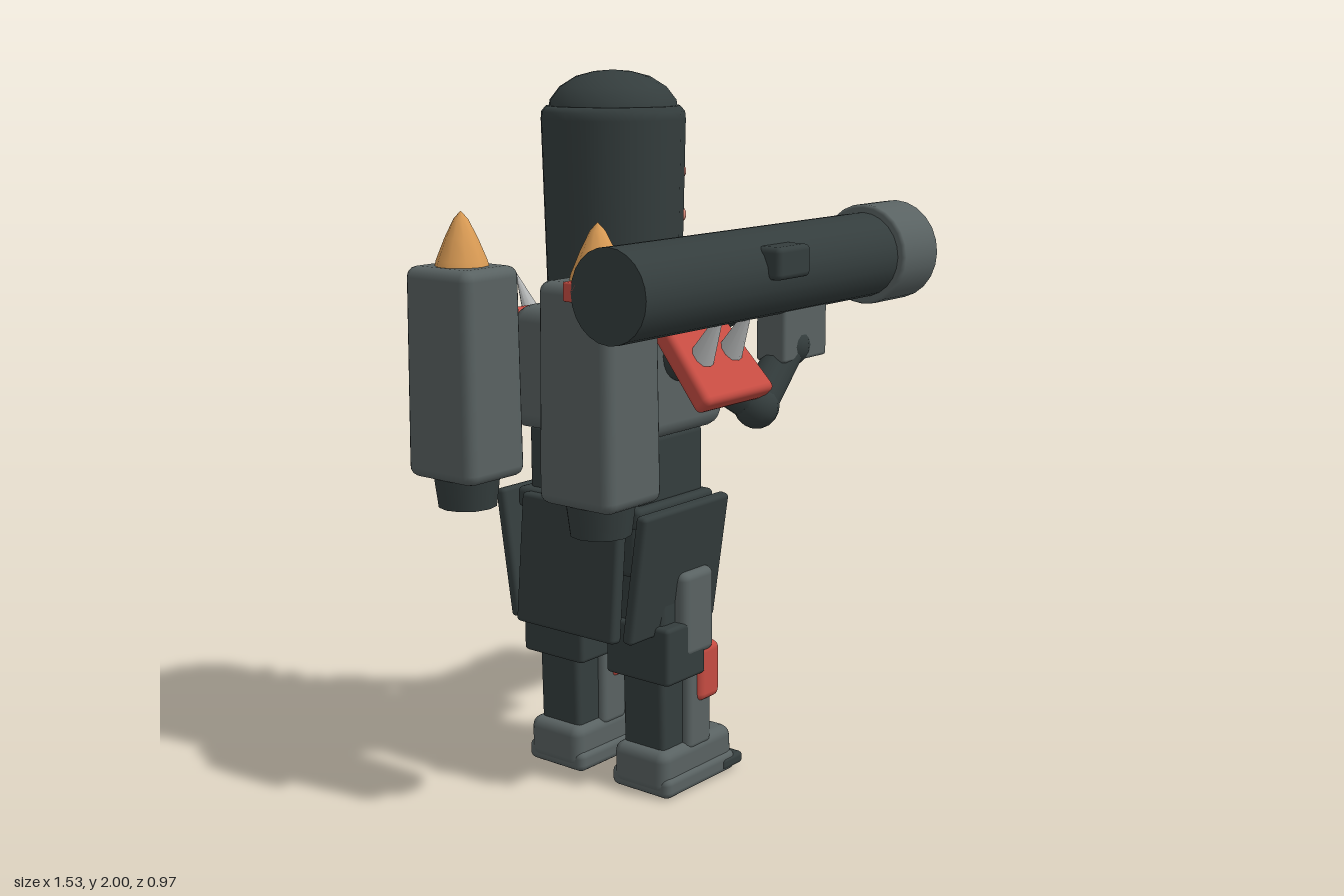
import * as THREE from 'three';
import { RoundedBoxGeometry } from 'three/addons/geometries/RoundedBoxGeometry.js';

const mat = (name, color) => {
  const m = new THREE.MeshStandardMaterial({ color });
  m.name = name;
  return m;
};

export function createModel() {
  const dark = mat('dark iron', 0x343d3d);
  const gray = mat('gray armour', 0x596262);
  const red = mat('red paint', 0xc64c42);
  const orange = mat('orange cone', 0xdb9c55);
  const pink = mat('pink eye', 0xd88c7c);
  const silver = mat('silver spike', 0xb2b4b4);

  const root = new THREE.Group();
  root.name = 'armouredSoldier';
  // The body faces +x; its middle plane lies slightly behind z = 0
  const body = new THREE.Group();
  body.name = 'body';
  body.position.z = -0.046;
  root.add(body);

  const add = (parent, name, geo, material, x = 0, y = 0, z = 0) => {
    const m = new THREE.Mesh(geo, material);
    m.name = name;
    m.position.set(x, y, z);
    parent.add(m);
    return m;
  };
  // Rounded box given by its limits on each axis
  const box = (parent, name, material, [x0, x1], [y0, y1], [z0, z1], r = 0.02) => {
    const w = x1 - x0, h = y1 - y0, d = z1 - z0;
    const geo = new RoundedBoxGeometry(w, h, d, 2, Math.min(r, w / 2.1, h / 2.1, d / 2.1));
    return add(parent, name, geo, material, (x0 + x1) / 2, (y0 + y1) / 2, (z0 + z1) / 2);
  };
  // Scale each horizontal section by a rule of its relative height (0 to 1)
  const taper = (mesh, rule) => {
    const p = mesh.geometry.attributes.position;
    mesh.geometry.computeBoundingBox();
    const { min, max } = mesh.geometry.boundingBox;
    for (let i = 0; i < p.count; i++) {
      const [sx, sz, dx = 0] = rule((p.getY(i) - min.y) / (max.y - min.y));
      p.setX(i, p.getX(i) * sx + dx);
      p.setZ(i, p.getZ(i) * sz);
    }
    return mesh;
  };
  const lathe = (points, sides) =>
    new THREE.LatheGeometry(points.map(([r, y]) => new THREE.Vector2(r, y)), sides);
  const ball = (parent, name, material, r, p) =>
    add(parent, name, new THREE.SphereGeometry(r, 14, 10), material, ...p);
  const rod = (parent, name, r0, r1, a, b) => {
    const A = new THREE.Vector3(...a), B = new THREE.Vector3(...b);
    const dir = B.clone().sub(A);
    const m = add(parent, name, new THREE.CylinderGeometry(r1, r0, dir.length(), 14), dark);
    m.position.copy(A).add(B).multiplyScalar(0.5);
    m.quaternion.setFromUnitVectors(new THREE.Vector3(0, 1, 0), dir.normalize());
  };

  // Helmet with domed crown
  add(body, 'helmet', lathe([[0, 1.38], [0.17, 1.38], [0.184, 1.39], [0.186, 1.42],
    [0.197, 1.87], [0.195, 1.89], [0.182, 1.905], [0, 1.905]], 20), dark, -0.3);
  add(body, 'helmetDome', lathe([[0.176, 1.89], [0.172, 1.92], [0.145, 1.955], [0.1, 1.983],
    [0.05, 1.996], [0, 2]], 20), dark, -0.3);
  add(body, 'neck', new THREE.CylinderGeometry(0.09, 0.11, 0.1, 16), gray, -0.3, 1.37);
  for (const y of [1.6, 1.72])
    for (const z of [-0.063, 0.063]) ball(body, 'eye', pink, 0.028, [-0.107, y, z]);

  // Torso
  const chest = box(body, 'chest', gray, [-0.5, -0.1], [1.02, 1.365], [-0.245, 0.245], 0.045);
  taper(chest, (t) => {
    const k = t < 0.72 ? t / 0.72 : 1 - (t - 0.72) / 0.28;
    return t < 0.72 ? [1 + 0.03 * k, 0.93 + 0.13 * k, 0.02 * k] : [0.93 + 0.1 * k, 0.84 + 0.22 * k, 0.02 * k];
  });
  box(body, 'chestPlate', red, [-0.09, -0.057], [1.225, 1.31], [-0.115, 0.115], 0.008);
  box(body, 'abdomen', dark, [-0.445, -0.155], [0.83, 1.03], [-0.2, 0.2]);
  box(body, 'belt', dark, [-0.47, -0.14], [0.785, 0.845], [-0.225, 0.225], 0.015);
  box(body, 'pelvis', dark, [-0.45, -0.15], [0.64, 0.8], [-0.2, 0.2]);
  for (const z of [-0.117, 0, 0.117])
    box(body, 'pouch', red, [-0.16, -0.113], [0.74, 0.838], [z - 0.042, z + 0.042], 0.014);

  // Skirt plates
  const back = box(body, 'backSkirt', dark, [-0.515, -0.475], [0.47, 0.84], [-0.18, 0.18], 0.012);
  back.rotation.z = -0.09;

  // Paired parts, built for the +z side and mirrored in placement
  for (const s of [1, -1]) {
    const span = (a, b) => (s > 0 ? [a, b] : [-b, -a]);
    const skirt = box(body, 'sideSkirt', dark, [-0.505, -0.135], [0.47, 0.84], span(0.215, 0.25), 0.012);
    skirt.rotation.x = s * 0.15;

    // Leg
    box(body, 'thigh', dark, [-0.39, -0.23], [0.4, 0.7], span(0.065, 0.235), 0.02);
    box(body, 'thighPlate', gray, [-0.33, -0.195], [0.395, 0.64], span(0.055, 0.272), 0.022);
    box(body, 'kneeJoint', dark, [-0.405, -0.235], [0.335, 0.5], span(0.045, 0.27), 0.012);
    taper(box(body, 'calf', dark, [-0.38, -0.265], [0.12, 0.36], span(0.085, 0.23), 0.015),
      (t) => [0.95 + 0.1 * t, 1]);
    box(body, 'shinPlate', gray, [-0.29, -0.185], [0.11, 0.36], span(0.065, 0.253), 0.018);
    box(body, 'kneeGuard', red, [-0.255, -0.16], [0.247, 0.413], span(0.058, 0.266), 0.022);
    const stud = add(body, 'kneeSpike', new THREE.ConeGeometry(0.022, 0.08, 10), silver,
      -0.13, 0.33, s * 0.162);
    stud.rotation.z = -Math.PI / 2;
    taper(box(body, 'boot', gray, [-0.405, -0.08], [0.01, 0.135], span(0.065, 0.255), 0.03),
      (t) => [1 - 0.03 * t, 1, -0.005 * t]);
    box(body, 'bootSole', gray, [-0.4, -0.085], [0, 0.06], span(0.055, 0.265), 0.02);
    box(body, 'toePlate', dark, [-0.15, -0.055], [0.01, 0.045], span(0.055, 0.268), 0.012);

    // Shoulder guard with two spikes
    const guard = new THREE.Group();
    guard.name = 'shoulderGuard';
    guard.position.set(-0.3, 1.235, s * 0.342);
    guard.rotation.x = s * 0.84;
    body.add(guard);
    const pad = box(guard, 'shoulderPad', red, [-0.15, 0.15], [-0.03, 0.03], [-0.125, 0.125], 0.018);
    const p = pad.geometry.attributes.position;
    for (let i = 0; i < p.count; i++) p.setX(i, p.getX(i) * (0.92 + s * p.getZ(i) * 0.6));
    for (const x of [-0.062, 0.062]) {
      const spike = add(guard, 'shoulderSpike', new THREE.ConeGeometry(0.036, 0.18, 10), silver,
        x, 0.105, -s * 0.04);
      spike.rotation.x = -s * 0.35;
    }

    // Rocket pack
    const pack = new THREE.Group();
    pack.name = 'rocketPack';
    pack.position.set(-0.645, 0, s * 0.243);
    body.add(pack);
    taper(box(pack, 'packBody', gray, [-0.11, 0.11], [0.905, 1.485], [-0.125, 0.125], 0.03),
      (t) => [1 - 0.05 * t, 1 - 0.04 * t]);
    add(pack, 'packNozzle', new THREE.CylinderGeometry(0.095, 0.082, 0.1, 12), dark, 0, 0.872);
    add(pack, 'packCone', lathe([[0.076, 1.475], [0.07, 1.5], [0.045, 1.56], [0.02, 1.61], [0, 1.632]], 10), orange);
  }

  // Arms: shoulder, elbow, hand
  const arms = [
    ['gripArm', [-0.3, 1.25, 0.24], [-0.15, 1.1, 0.378], [0.0, 1.25, 0.378]],
    ['supportArm', [-0.3, 1.25, -0.24], [-0.13, 1.085, -0.29], [0.105, 1.35, 0.165]],
  ];
  for (const [name, shoulder, elbow, hand] of arms) {
    const arm = new THREE.Group();
    arm.name = name;
    body.add(arm);
    ball(arm, 'shoulder', dark, 0.075, shoulder);
    rod(arm, 'upperArm', 0.06, 0.052, shoulder, elbow);
    ball(arm, 'elbow', dark, 0.063, elbow);
    rod(arm, 'forearm', 0.055, 0.05, elbow, hand);
    ball(arm, 'hand', dark, 0.06, hand);
  }

  // Shoulder launcher lying along x
  const launcher = new THREE.Group();
  launcher.name = 'launcher';
  launcher.position.set(0, 1.467, 0.333);
  root.add(launcher);
  const along = (name, geo, material, x) => {
    add(launcher, name, geo, material, x).rotation.z = -Math.PI / 2;
  };
  along('tube', new THREE.CylinderGeometry(0.122, 0.122, 1.13, 24), dark, -0.2);
  along('muzzleRing', lathe([[0, -0.093], [0.136, -0.093], [0.145, -0.084], [0.145, 0.084],
    [0.136, 0.093], [0, 0.093]], 24), gray, 0.452);
  along('warhead', lathe([[0.09, 0], [0.075, 0.045], [0.04, 0.13], [0.012, 0.2], [0, 0.222]], 12), orange, 0.543);
  box(launcher, 'tubeStripe', red, [-0.765, 0.36], [-0.025, 0.025], [-0.15, -0.1], 0.005);
  box(launcher, 'sightBox', dark, [-0.265, -0.12], [-0.002, 0.085], [0.07, 0.155], 0.015);
  box(launcher, 'grip', gray, [-0.09, 0.113], [-0.255, -0.105], [-0.05, 0.048], 0.01);

  return root;
}
